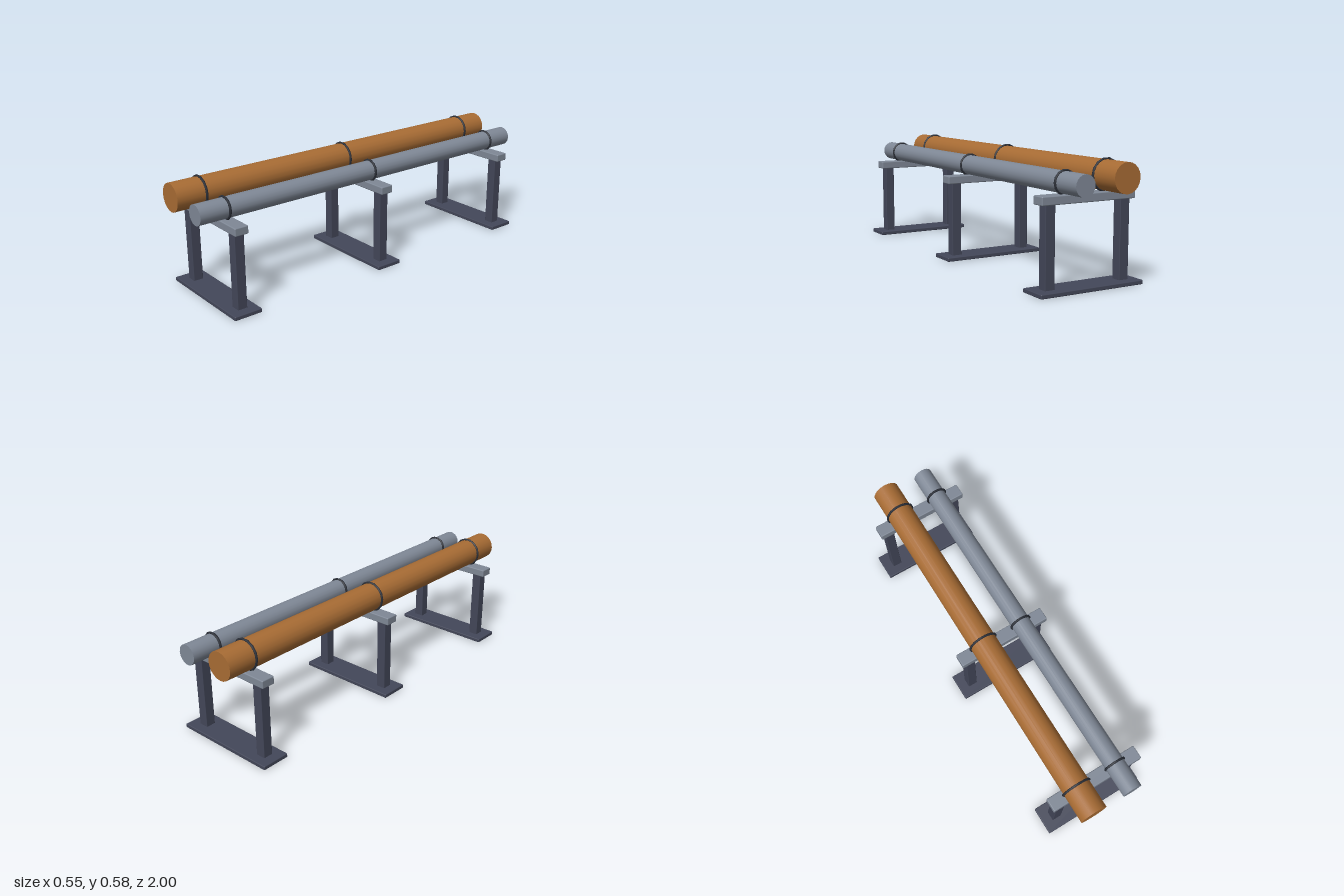
import * as THREE from 'three';
import { RoundedBoxGeometry } from 'three/addons/geometries/RoundedBoxGeometry.js';

function paint(name, color) {
  const m = new THREE.MeshStandardMaterial({ color });
  m.name = name;
  return m;
}

export function createModel() {
  const copper = paint('copper', 0xa86c34);
  const steel = paint('steel grey', 0x7f8896);
  const frame = paint('dark frame', 0x434759);
  const band = paint('dark band', 0x2b2f38);

  const model = new THREE.Group();
  model.name = 'pipeRack';

  const add = (parent, name, geometry, material, x, y, z) => {
    const mesh = new THREE.Mesh(geometry, material);
    mesh.name = name;
    mesh.position.set(x, y, z);
    parent.add(mesh);
    return mesh;
  };

  const beamTop = 0.43;
  const stations = [-0.85, 0, 0.85];

  // Supports: foot plate, two posts and a cross beam
  const footGeo = new RoundedBoxGeometry(0.55, 0.02, 0.145, 2, 0.004);
  const postGeo = new RoundedBoxGeometry(0.05, 0.38, 0.05, 2, 0.003);
  const beamGeo = new RoundedBoxGeometry(0.5, 0.04, 0.07, 2, 0.005);
  for (const z of stations) {
    const support = new THREE.Group();
    support.name = 'support';
    support.position.z = z;
    model.add(support);
    add(support, 'footPlate', footGeo, frame, 0, 0.01, 0);
    for (const side of [-1, 1]) add(support, 'post', postGeo, frame, side * 0.2, 0.205, 0);
    add(support, 'crossBeam', beamGeo, steel, 0, 0.41, 0);
  }

  // Pipes resting on the beams, each with a band at every support
  const pipes = [
    { name: 'largePipe', x: -0.11, r: 0.07, material: copper },
    { name: 'smallPipe', x: 0.11, r: 0.05, material: steel },
  ];
  for (const { name, x, r, material } of pipes) {
    const y = beamTop + r;
    const pipeGeo = new THREE.CylinderGeometry(r, r, 2, 20).rotateX(Math.PI / 2);
    add(model, name, pipeGeo, material, x, y, 0);
    const bandGeo = new THREE.TorusGeometry(r + 0.003, 0.006, 6, 14);
    for (const z of stations) add(model, name + 'Band', bandGeo, band, x, y, z);
  }
  return model;
}
